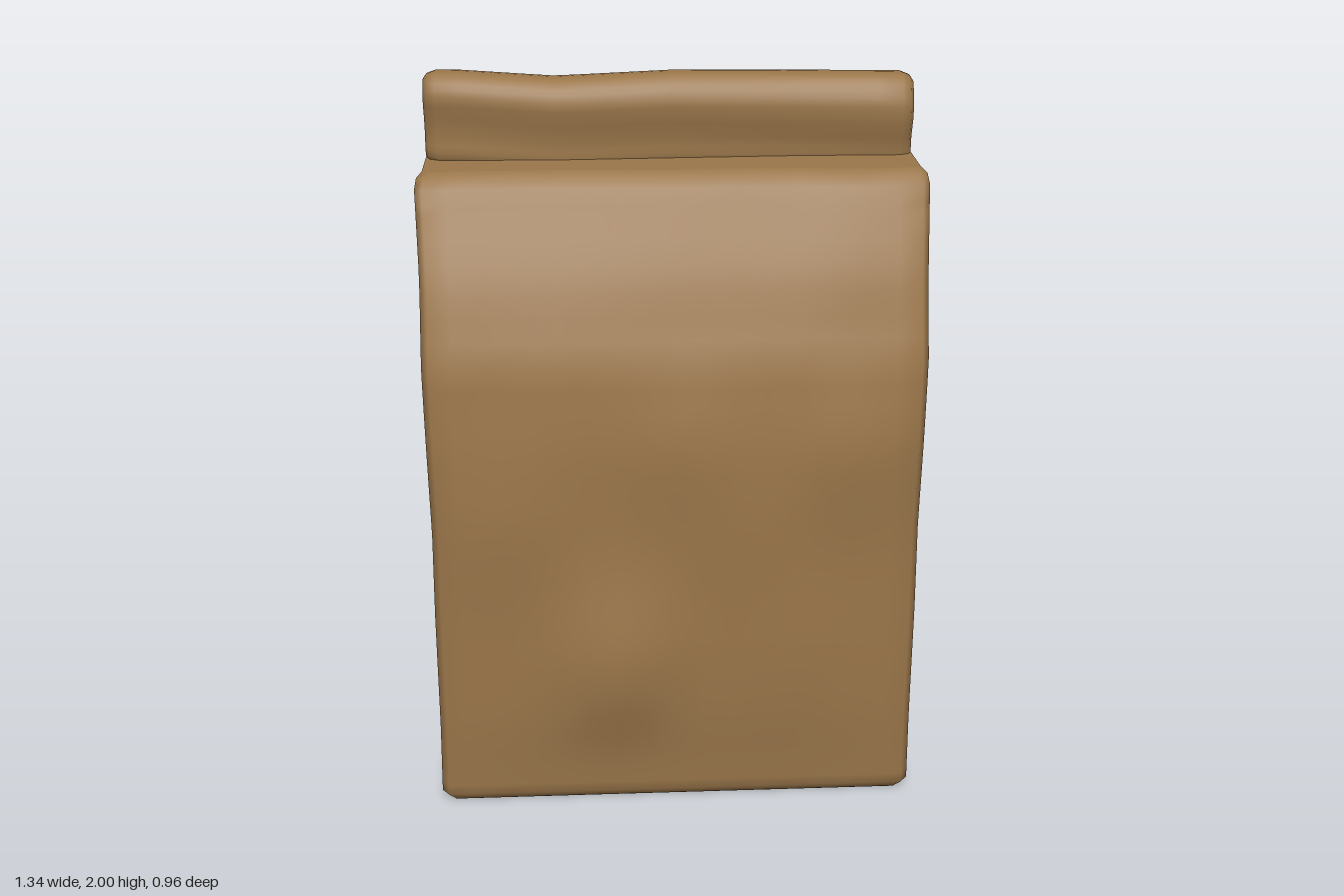
import * as THREE from 'three';

// Skin a list of closed rings (each an array of [x, y, z]) with smooth normals
function loft(rings, material, name) {
  const n = rings[0].length, index = [];
  for (let j = 0; j < rings.length - 1; j++) {
    for (let i = 0; i < n; i++) {
      const a = j * n + i, b = j * n + (i + 1) % n;
      index.push(a, a + n, b, b, a + n, b + n);
    }
  }
  const geo = new THREE.BufferGeometry();
  geo.setAttribute('position', new THREE.Float32BufferAttribute(rings.flat(2), 3));
  geo.setIndex(index);
  geo.computeVertexNormals();
  const mesh = new THREE.Mesh(geo, material);
  mesh.name = name;
  return mesh;
}

// Linear lookup in a list of [key, value] pairs
function lookup(table, t) {
  let k = 1;
  while (k < table.length - 1 && t > table[k][0]) k++;
  const [t0, v0] = table[k - 1], [t1, v1] = table[k];
  return v0 + (v1 - v0) * THREE.MathUtils.clamp((t - t0) / (t1 - t0), 0, 1);
}

const smooth = THREE.MathUtils.smoothstep;

// Half depth at the corners, and half width, by height
const DEPTH = [[0, 0.39], [0.03, 0.412], [0.25, 0.42], [0.5, 0.422], [1.1, 0.42], [1.32, 0.408],
  [1.53, 0.342], [1.74, 0.234], [1.765, 0.217], [1.775, 0.188]];
const WIDTH = [[0, 0.645], [0.03, 0.664], [0.25, 0.658], [0.6, 0.655], [0.85, 0.65],
  [1.3, 0.655], [1.53, 0.653], [1.74, 0.663], [1.765, 0.658], [1.775, 0.645]];
// Wander of the shoulder crease across the width
const SHOULDER = [[-0.66, -0.008], [-0.3, -0.012], [0, 0], [0.3, -0.003], [0.47, 0.015], [0.66, 0.006]];
// Soft lumps on the broad panels: x, y, height
const LUMPS = [[-0.16, 0.46, 0.046], [-0.47, 0.88, 0.018], [0.03, 1.1, 0.018], [0.18, 0.85, 0.014],
  [0.47, 1.08, 0.024], [0.3, 0.5, 0.01]];

// One horizontal section of the bag; inset shrinks it towards z = 0 for the caps
function bagRing(y, inset = 1) {
  const d = lookup(DEPTH, y), w = lookup(WIDTH, y);
  const swell = smooth(y, 0, 0.35) * (1 - smooth(y, 1.1, 1.5));
  const shoulder = smooth(y, 1.35, 1.72);
  const side = [-0.94, -0.84, -0.72, -0.6, -0.48, -0.36, -0.24, -0.12, 0,
    0.12, 0.24, 0.36, 0.48, 0.6, 0.72, 0.84, 0.94];
  const panel = [0.97, 0.88, 0.72, 0.6, 0.5, 0.36, 0.25, 0.12, 0, -0.12, -0.24, -0.36, -0.48, -0.6, -0.72, -0.88, -0.97];
  const sidePoint = (s, v) => {
    const z = v * (d + shoulder * lookup(SHOULDER, s * w));
    const gusset = 0.042 * smooth(y, 0.9, 1.5) * smooth(1 - Math.abs(v), 0, 0.65);
    const ripple = 0.007 * Math.cos((z + 0.1) / 0.18 * Math.PI * 2) * (1 - smooth(y, 0.1, 0.5)) * (1 - v * v);
    return [s * (w - gusset + ripple), y, z * inset];
  };
  const panelPoint = (s, u) => {
    const x = u * w;
    let bulge = 0.014 * (1 - u ** 4);
    for (const [lx, ly, h] of LUMPS) bulge += h * Math.exp(-(((x - lx) / 0.15) ** 2) - ((y - ly) / 0.22) ** 2);
    return [x, y, s * (d + bulge * swell + shoulder * lookup(SHOULDER, x)) * inset];
  };
  return [
    ...side.map(v => sidePoint(1, v)),
    ...panel.map(u => panelPoint(1, u)),
    ...side.map(v => sidePoint(-1, -v)),
    ...panel.map(u => panelPoint(-1, -u)),
  ];
}

// Vertical section of the rolled closure at one x; size shrinks it at the ends
function rollRing(x, size) {
  const ring = [], n = 32, mid = 1.868, half = 0.122;
  const lift = lookup([[-0.64, 0.01], [-0.55, 0.009], [-0.3, -0.008], [0, 0.003], [0.64, -0.005]], x);
  const shift = lookup([[-0.64, -0.006], [-0.3, 0.005], [0.33, -0.003], [0.64, 0.004]], x);
  for (let i = 0; i < n; i++) {
    const a = i / n * Math.PI * 2, c = Math.cos(a), s = Math.sin(a);
    // Rounded slab bent into a very gentle S
    const t = Math.sign(c) * Math.abs(c) ** 0.65;
    const thick = 0.06 * Math.sign(s) * Math.abs(s) ** 0.65;
    const bend = 0.014 + 0.008 * Math.cos(t * 4.2 - 1.6 + x);
    ring.push([x, mid + lift + t * (half - 0.04 * (1 - size)), bend + shift + thick * size]);
  }
  return ring;
}

export function createModel() {
  const group = new THREE.Group();
  group.name = 'paperBag';
  const paper = new THREE.MeshStandardMaterial({ color: 0x9a764a });
  paper.name = 'brown paper';

  // Bag body with flat bottom, tapering shoulders and flat top
  const heights = [0, 0.008, 0.03, 0.06];
  for (let y = 0.12; y < 1.7; y += 0.06) heights.push(y);
  heights.push(1.7, 1.74, 1.765, 1.775);
  const rings = heights.map(y => bagRing(y));
  rings.unshift(bagRing(0, 0), bagRing(0, 0.95));
  rings.push(bagRing(1.775, 0.93), bagRing(1.775, 0));
  group.add(loft(rings, paper, 'bagBody'));

  // Rolled closure running across the top
  const ends = [[0.643, 0], [0.643, 0.45], [0.634, 0.78], [0.61, 1]];
  const rollRings = ends.map(([x, k]) => rollRing(x, k));
  for (let i = 1; i < 20; i++) rollRings.push(rollRing(0.61 - i * 0.061, 1));
  for (const [x, k] of ends.reverse()) rollRings.push(rollRing(-x, k));
  group.add(loft(rollRings, paper, 'rolledTop'));

  return group;
}
